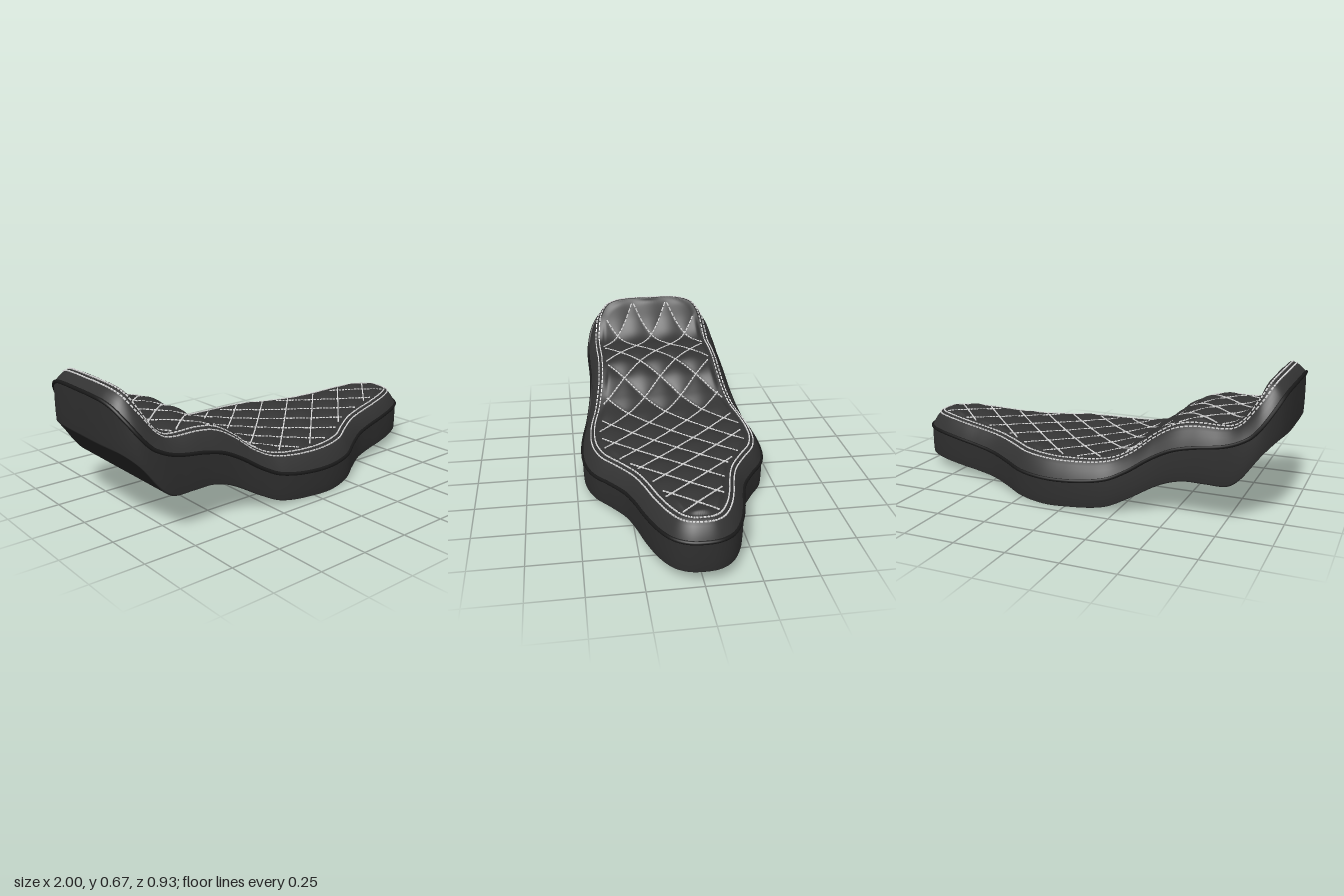
import * as THREE from 'three';
import { mergeGeometries } from 'three/addons/utils/BufferGeometryUtils.js';

const M = 480;        // points around the outline
const COLS = 76;      // columns across the seat
const INNER = 0.075;  // inset where the quilting starts
const PITCH = 0.2;    // diagonal of one quilted diamond

// Smooth height curve through [x, y] points
function profile(pts) {
  const slope = pts.map((_, i) => {
    const a = pts[Math.max(i - 1, 0)], b = pts[Math.min(i + 1, pts.length - 1)];
    return (b[1] - a[1]) / (b[0] - a[0]);
  });
  return (x) => {
    x = THREE.MathUtils.clamp(x, pts[0][0], pts[pts.length - 1][0]);
    let i = 0;
    while (i < pts.length - 2 && x > pts[i + 1][0]) i++;
    const h = pts[i + 1][0] - pts[i][0], t = (x - pts[i][0]) / h, t2 = t * t, t3 = t2 * t;
    return (2 * t3 - 3 * t2 + 1) * pts[i][1] + (t3 - 2 * t2 + t) * h * slope[i]
      + (3 * t2 - 2 * t3) * pts[i + 1][1] + (t3 - t2) * h * slope[i + 1];
  };
}

const bottomY = profile([[-1, 0.41], [-0.96, 0.39], [-0.9, 0.33], [-0.82, 0.225], [-0.76, 0.183], [-0.66, 0.18],
  [-0.55, 0.178], [-0.45, 0.148], [-0.3, 0.065], [-0.2, 0.022], [0, 0.004], [0.1, 0], [0.25, 0.008], [0.5, 0.03], [1, 0.062]]);
const seamY = profile([[-1, 0.63], [-0.98, 0.605], [-0.95, 0.55], [-0.9, 0.47], [-0.85, 0.415], [-0.75, 0.37], [-0.6, 0.345],
  [-0.5, 0.32], [-0.4, 0.27], [-0.3, 0.205], [-0.2, 0.16], [0, 0.136], [0.2, 0.138], [0.4, 0.158], [0.6, 0.18], [0.8, 0.2], [1, 0.212]]);
const padY = profile([[-0.93, 0.682], [-0.9, 0.645], [-0.85, 0.54], [-0.8, 0.47], [-0.75, 0.445], [-0.6, 0.443],
  [-0.5, 0.425], [-0.4, 0.368], [-0.3, 0.29], [-0.2, 0.245], [0, 0.229], [0.2, 0.234], [0.4, 0.249], [0.6, 0.266], [0.8, 0.286], [0.93, 0.292]]);

// Half of the plan outline, tail to nose, then mirrored
const half = [[-0.99, 0], [-0.99, 0.1], [-0.983, 0.2], [-0.96, 0.285], [-0.91, 0.345], [-0.83, 0.371], [-0.7, 0.376], [-0.55, 0.376],
  [-0.42, 0.384], [-0.3, 0.408], [-0.15, 0.444], [0, 0.458], [0.13, 0.45], [0.25, 0.415], [0.36, 0.348], [0.48, 0.283],
  [0.6, 0.247], [0.72, 0.22], [0.85, 0.179], [0.94, 0.127], [0.98, 0.068], [0.99, 0]];
const outline = (() => {
  const all = [...half, ...half.slice(1, -1).reverse().map(([x, z]) => [x, -z])];
  const curve = new THREE.CatmullRomCurve3(all.map(([x, z]) => new THREE.Vector3(x, 0, z)), true);
  curve.arcLengthDivisions = 3000;
  const p = curve.getSpacedPoints(M);
  p.length = M;
  for (let i = 1; i < M / 2; i++) p[M - i].set(p[i].x, 0, -p[i].z);
  p[0].z = p[M / 2].z = 0;
  return p;
})();
const wrap = (i) => (i + M) % M;

// Outline point moved inward by d
function inset(i, d) {
  const p = outline[wrap(i)];
  const t = outline[wrap(i + 1)].clone().sub(outline[wrap(i - 1)]).normalize();
  return new THREE.Vector3(p.x + t.z * d, 0, p.z - t.x * d);
}
const innerRing = outline.map((_, i) => inset(i, INNER));

// Signed distance inside the quilted area (positive inside)
function depth(x, z) {
  let best = Infinity, inside = false;
  for (let i = 0; i < M; i++) {
    const a = innerRing[i], b = innerRing[(i + 1) % M];
    best = Math.min(best, (a.x - x) ** 2 + (a.z - z) ** 2);
    if ((a.z > z) !== (b.z > z) && x < a.x + (b.x - a.x) * (z - a.z) / (b.z - a.z)) inside = !inside;
  }
  return Math.sqrt(best) * (inside ? 1 : -1);
}

// Quilted top: diamonds puff up between the diagonal creases
function quiltY(x, z, d) {
  const k = Math.PI / PITCH;
  const puff = Math.abs(Math.sin(k * (x + z)) * Math.sin(k * (x - z))) ** 0.75;
  return padY(x) + 0.018 * puff * THREE.MathUtils.smoothstep(d, 0, 0.03);
}

// Rounded rim from the seam (f = 0) up to the quilting (f = 1)
function rimPoint(i, d, f) {
  const p = inset(i, d);
  p.y = THREE.MathUtils.lerp(seamY(outline[wrap(i)].x), padY(innerRing[wrap(i)].x), f);
  return p;
}

// Grid surface from a point function; closed joins the last row to the first
function grid(rows, cols, closed, fn) {
  const pos = [], idx = [];
  for (let i = 0; i < rows; i++) for (let j = 0; j < cols; j++) pos.push(...fn(i, j).toArray());
  for (let i = 0; i < (closed ? rows : rows - 1); i++) {
    for (let j = 0; j < cols - 1; j++) {
      const a = i * cols + j, b = ((i + 1) % rows) * cols + j;
      idx.push(a, b, a + 1, b, b + 1, a + 1);
    }
  }
  const g = new THREE.BufferGeometry();
  g.setAttribute('position', new THREE.Float32BufferAttribute(pos, 3));
  g.setIndex(idx);
  g.computeVertexNormals();
  return g;
}

// One short raised thread between two points
function thread(a, b) {
  const x = b.clone().sub(a), len = x.length();
  x.normalize();
  const z = new THREE.Vector3().crossVectors(x, new THREE.Vector3(0, 1, 0)).normalize();
  const y = new THREE.Vector3().crossVectors(z, x);
  return new THREE.BoxGeometry(len, 0.005, 0.006)
    .applyMatrix4(new THREE.Matrix4().makeBasis(x, y, z).setPosition(a.clone().add(b).multiplyScalar(0.5)));
}

export function createModel() {
  const seat = new THREE.Group();
  seat.name = 'seat';
  const mat = (name, color) => Object.assign(new THREE.MeshStandardMaterial({ color }), { name });
  const vinyl = mat('padVinyl', 0x333333), side = mat('sideVinyl', 0x2e2e2e);
  const trim = mat('pipingBlack', 0x191919), under = mat('baseBlack', 0x222222), white = mat('threadWhite', 0xd9d9d9);
  const add = (name, geometry, material) => {
    const m = new THREE.Mesh(geometry, material);
    m.name = name;
    seat.add(m);
  };

  // Quilted cushion
  add('quiltedCushion', grid(M / 2 + 1, COLS + 1, false, (i, j) => {
    const a = innerRing[i], b = innerRing[wrap(M - i)];
    const p = a.clone().lerp(b, j / COLS);
    const edge = j === 0 || j === COLS || i === 0 || i === M / 2;
    p.y = quiltY(p.x, p.z, edge ? 0 : Math.abs(depth(p.x, p.z)));
    return p;
  }), vinyl);

  // Rounded rim around the cushion
  const rim = [[0, 0], [0.008, 0.22], [0.02, 0.48], [0.034, 0.72], [0.048, 0.9], [0.06, 0.98], [0.068, 1.01], [INNER, 1]];
  add('cushionRim', grid(M, rim.length, true, (i, j) => rimPoint(i, ...rim[j])), vinyl);

  // Side wall with a small rounded lower edge
  const wall = [[0.012, 0], [0.004, 0.02], [0, 0.06], [-0.002, 0.35], [-0.002, 0.7], [0, 1]];
  add('sideWall', grid(M, wall.length, true, (i, j) => {
    const [d, f] = wall[j], p = inset(i, d), x = outline[i].x;
    p.y = THREE.MathUtils.lerp(bottomY(x), seamY(x), f);
    return p;
  }), side);

  // Underside
  add('underside', grid(M / 2 + 1, 13, false, (i, j) => {
    const p = inset(M - i, 0.012).lerp(inset(i, 0.012), j / 12);
    p.y = bottomY(outline[i].x);
    return p;
  }), under);

  // Piping along the seam
  const seam = new THREE.CatmullRomCurve3(outline.filter((_, i) => i % 3 === 0).map((p) => new THREE.Vector3(p.x, seamY(p.x), p.z)), true);
  add('piping', new THREE.TubeGeometry(seam, 320, 0.009, 8, true), trim);

  // Double row of stitches on the rim
  const rimThreads = [];
  for (const [d, f] of [[0.045, 0.89], [0.064, 1.02]]) {
    for (let i = 0; i < M; i += 2) {
      const a = rimPoint(i, d, f), b = rimPoint(i + 2, d, f);
      a.y += 0.001;
      b.y += 0.001;
      rimThreads.push(thread(a, a.clone().lerp(b, 0.7)));
    }
  }
  add('rimStitching', mergeGeometries(rimThreads), white);

  // Diamond stitches in the creases
  const diamondThreads = [], step = 0.0125;
  const onQuilt = (x, z, d) => new THREE.Vector3(x, quiltY(x, z, d) + 0.004, z);
  for (const s of [1, -1]) {
    for (let k = -7; k <= 7; k++) {
      for (let x = -0.92; x < 0.92; x += step) {
        const z = s * (x - k * PITCH), d = Math.abs(z) < 0.42 ? depth(x, z) : -1;
        if (d < 0.015) continue;
        const x2 = x + step * 0.75;
        diamondThreads.push(thread(onQuilt(x, z, d), onQuilt(x2, s * (x2 - k * PITCH), d)));
      }
    }
  }
  add('diamondStitching', mergeGeometries(diamondThreads), white);

  return seat;
}
